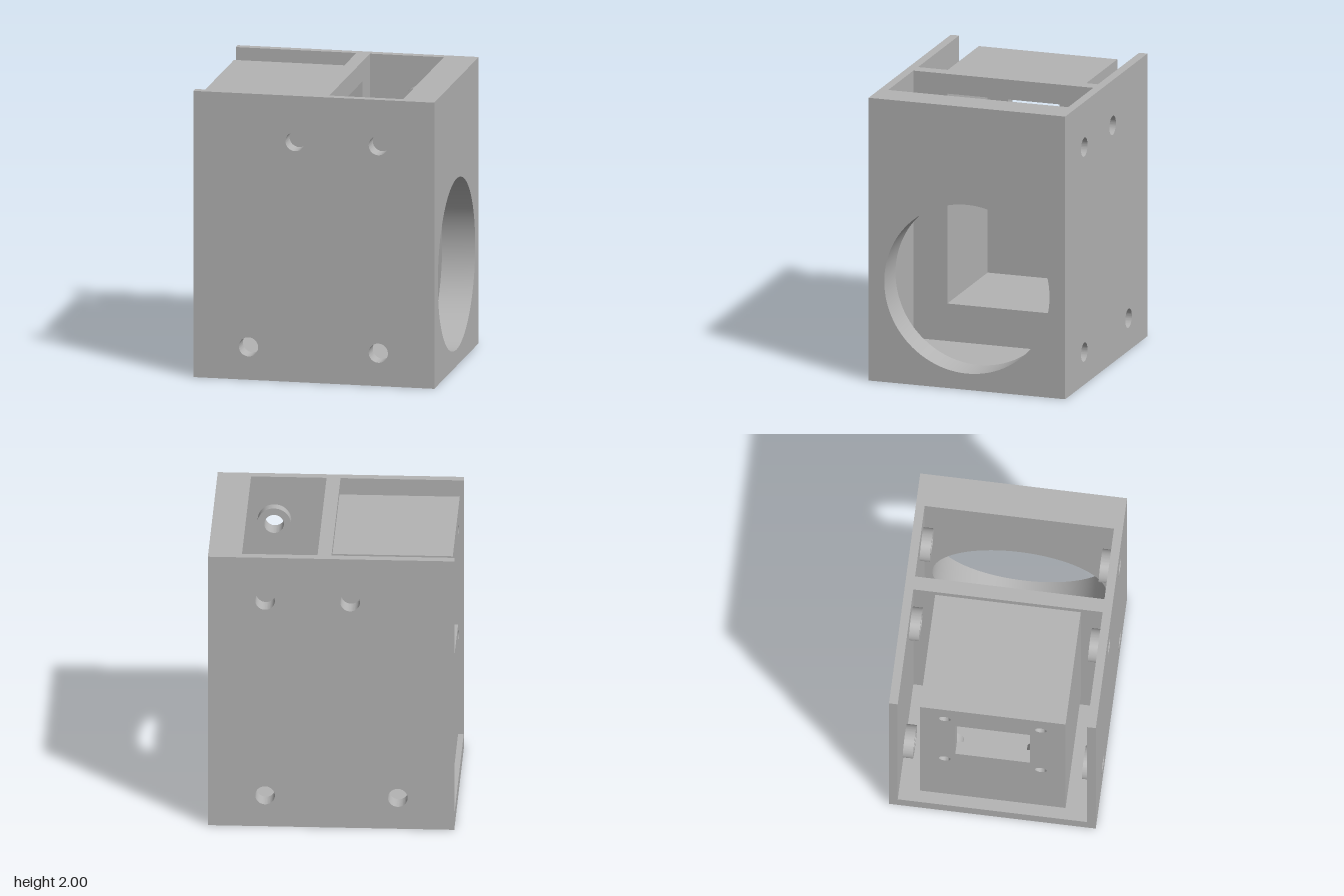
import * as THREE from 'three';
import { toCreasedNormals } from 'three/addons/utils/BufferGeometryUtils.js';

const grey = new THREE.MeshStandardMaterial({ color: 0xb4b4b4 });
grey.name = 'grey plastic';

const rect = (u0, u1, v0, v1) => new THREE.Shape([
  new THREE.Vector2(u0, v0), new THREE.Vector2(u1, v0),
  new THREE.Vector2(u1, v1), new THREE.Vector2(u0, v1)]);
const circle = (u, v, r) => new THREE.Shape().absarc(u, v, r, 0, Math.PI * 2, false);

// Plate of the given outline and holes, from start to start + depth along z
function plateZ(name, outline, holes, start, depth) {
  outline.holes.push(...holes);
  const raw = new THREE.ExtrudeGeometry(outline, { depth, bevelEnabled: false, curveSegments: 48 });
  raw.translate(0, 0, start);
  const mesh = new THREE.Mesh(toCreasedNormals(raw, 0.5), grey);
  mesh.name = name;
  return mesh;
}

// The same along x; the outline lies in the z-y plane
function plateX(name, outline, holes, start, depth) {
  const mesh = plateZ(name, outline, holes, start, depth);
  mesh.geometry.rotateY(Math.PI / 2);
  return mesh;
}

export function createModel() {
  const model = new THREE.Group();
  model.name = 'twoChamberHousing';

  // Front and back walls with screw holes and inner bosses
  const screws = [[-0.13, 1.68], [0.45, 1.68], [-0.455, 0.23], [0.45, 0.23]];
  for (const [side, wallZ, bossZ] of [['front', 0.65, 0.58], ['back', -0.71, -0.65]]) {
    model.add(plateZ(side + 'Wall', rect(-0.84, 0.84, 0, 2),
      screws.map(([x, y]) => circle(x, y, 0.067)), wallZ, 0.06));
    for (const [x, y] of screws) {
      model.add(plateZ(side + 'ScrewBoss', circle(x, y, 0.115), [circle(x, y, 0.067)], bossZ, 0.07));
    }
  }

  // Floor
  const floor = new THREE.Mesh(new THREE.BoxGeometry(1.68, 0.11, 1.3), grey);
  floor.position.y = 0.055;
  floor.name = 'floor';
  model.add(floor);

  // Thick side wall with the large round opening
  model.add(plateX('roundOpeningWall', rect(-0.65, 0.65, 0.11, 2), [circle(0, 0.712, 0.597)], 0.61, 0.23));

  // Dividing wall, open into the hollow inner box
  const cavity = () => rect(-0.405, 0.405, 0.375, 1.86);
  model.add(plateX('dividingWall', rect(-0.65, 0.65, 0.11, 2), [cavity()], 0, 0.095));

  // Inner box: sleeve and end plate with window and four small holes
  const innerOutline = () => rect(-0.5, 0.5, 0.283, 1.945);
  const pins = [[-0.33, 0.98], [0.33, 0.98], [-0.33, 1.765], [0.33, 1.765]];
  model.add(plateX('innerBoxSleeve', innerOutline(), [cavity()], -0.73, 0.73));
  model.add(plateX('innerBoxEnd', innerOutline(),
    [rect(-0.257, 0.257, 1.1, 1.65), ...pins.map(([z, y]) => circle(z, y, 0.04))], -0.82, 0.09));
  for (const [z, y] of pins) {
    const height = y > 1.5 ? Math.min(0.112, 1.94 - y) : 0.112;
    model.add(plateX('innerBoxBoss', circle(z, y, height), [circle(z, y, 0.04)], -0.73, 0.07));
  }

  return model;
}
